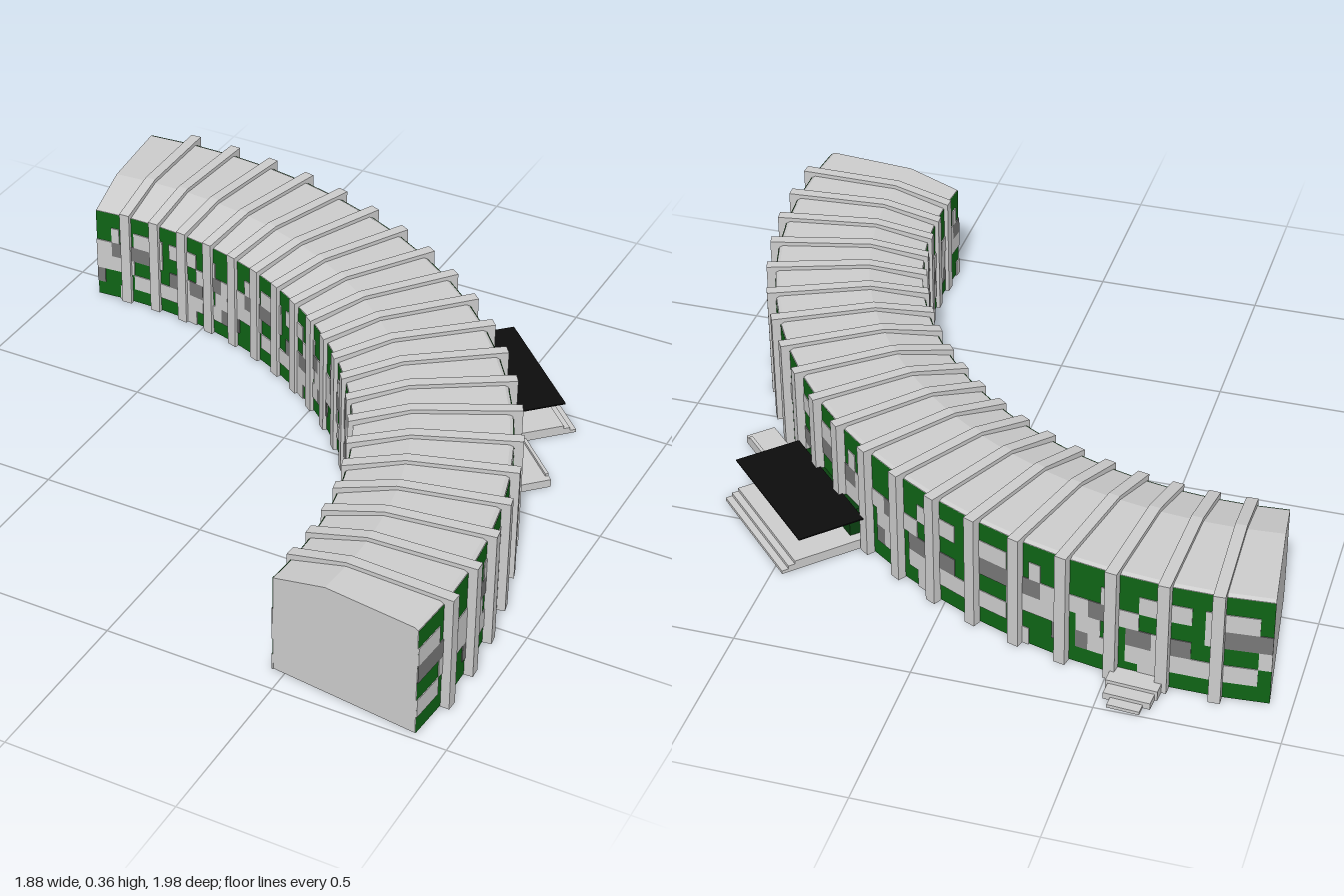
import * as THREE from 'three';
import { mergeGeometries } from 'three/addons/utils/BufferGeometryUtils.js';

const rad = THREE.MathUtils.degToRad;
const SEGMENTS = 21, START = rad(-96.9), END = rad(6.8);
const STEP = (END - START) / SEGMENTS;
const R_IN = 1.215, R_OUT = 1.655, EAVE_IN = 0.305, EAVE_OUT = 0.338;

const mat = (color) => new THREE.MeshStandardMaterial({ color, flatShading: true, side: THREE.DoubleSide });
const grey = mat(0xcccccc), darkGrey = mat(0x777777), green = mat(0x0f6415);
const darkGreen = mat(0x0a4010), black = mat(0x0c0c0c);

// Facade mosaics, top row first: g = green wall, l = light block, d = dark block
const PATTERNS = [
  ['gggg', 'lllg', 'dddd', 'gggl', 'lllg', 'gggg'],
  ['gggg', 'ggll', 'llgg', 'gddl', 'glll', 'ggll'],
  ['gggg', 'glgg', 'ddll', 'llll', 'gggd', 'lggg'],
  ['gggg', 'llgl', 'gggl', 'ddgg', 'llll', 'gggg'],
  ['gggg', 'gggl', 'lldd', 'gllg', 'gdll', 'gggg'],
];

function add(parent, name, geometry, material) {
  const mesh = new THREE.Mesh(geometry, material);
  mesh.name = name;
  parent.add(mesh);
  return mesh;
}

// Box between two corners
function block(parent, name, material, [x0, y0, z0], [x1, y1, z1]) {
  const g = new THREE.BoxGeometry(x1 - x0, y1 - y0, z1 - z0);
  g.translate((x0 + x1) / 2, (y0 + y1) / 2, (z0 + z1) / 2);
  return add(parent, name, g, material);
}

// Sweeps a radius/height profile along the curve of the building
function sweep(points) {
  const profile = points.map(([r, y]) => new THREE.Vector2(r, y));
  return new THREE.LatheGeometry(profile, SEGMENTS, Math.PI / 2 - END, END - START);
}

const shapeOf = (points) => new THREE.Shape(points.map(([x, y]) => new THREE.Vector2(x, y)));

// Geometry whose local x is radial, turned to an angle on the curve
const turn = (geometry, angle) => geometry.rotateY(-angle);

// Blocks of one colour on one wall
function mosaic(code, inner) {
  const r = (inner ? R_IN : R_OUT) * Math.cos(STEP / 2) + (inner ? -0.003 : 0.002);
  const rowHeight = (inner ? EAVE_IN : EAVE_OUT) / 6;
  const width = 2 * (inner ? R_IN : R_OUT) * Math.sin(STEP / 2);
  const tiles = [];
  for (let i = 0; i < SEGMENTS; i++) {
    const pattern = PATTERNS[(i * 3 + (inner ? 2 : 0)) % PATTERNS.length];
    pattern.forEach((row, j) => [...row].forEach((cell, k) => {
      if (cell !== code) return;
      const g = new THREE.BoxGeometry(0.005, rowHeight, width / 4);
      g.translate(r, (5.5 - j) * rowHeight, (1.5 - k) * width / 4);
      tiles.push(turn(g, START + (i + 0.5) * STEP));
    }));
  }
  return mergeGeometries(tiles);
}

function createBuilding() {
  const building = new THREE.Group();
  building.name = 'curvedBuilding';
  building.position.set(-0.741, 0, 0.786);

  // Hull with a low ridged roof
  const section = [[R_OUT, 0.003], [R_OUT, EAVE_OUT], [R_OUT - 0.01, 0.344], [1.375, 0.347], [R_IN, EAVE_IN], [R_IN, 0.003]];
  add(building, 'hull', sweep([...section, section[0]]), grey);
  [START, END].forEach((a) => add(building, 'endWall', turn(new THREE.ShapeGeometry(shapeOf(section)), a), grey));

  // Green facades with their mosaic of blocks
  add(building, 'outerFacade', sweep([[R_OUT + 0.002, 0.003], [R_OUT + 0.002, EAVE_OUT]]), green);
  add(building, 'innerFacade', sweep([[R_IN - 0.002, EAVE_IN], [R_IN - 0.002, 0.003]]), green);
  for (const inner of [false, true]) {
    add(building, 'lightBlocks', mosaic('l', inner), grey);
    add(building, 'darkBlocks', mosaic('d', inner), darkGrey);
  }

  // Ribs wrapping over both walls and the roof
  const band = [
    [1.682, 0], [1.682, 0.356], [1.375, 0.359], [1.2, 0.319], [1.2, 0],
    [1.22, 0], [1.22, 0.3], [1.375, 0.34], [1.65, 0.335], [1.65, 0],
  ];
  for (let i = 1; i < SEGMENTS; i++) {
    const g = new THREE.ExtrudeGeometry(shapeOf(band), { depth: 0.033, bevelEnabled: false });
    add(building, 'rib', turn(g.translate(0, 0, -0.0165), START + i * STEP), grey);
  }

  // Green patches on the underside: angle, radius, radial length, width
  const patches = [[2.5, 1.44, 0.28, 0.07], [-39, 1.43, 0.18, 0.14], [-65, 1.5, 0.2, 0.07], [-68.5, 1.52, 0.18, 0.04], [-86, 1.52, 0.2, 0.1], [-90, 1.44, 0.36, 0.04]];
  for (const [angle, r, length, width] of patches) {
    const g = new THREE.BoxGeometry(length, 0.003, width).translate(r, 0.0015, 0);
    add(building, 'floorPatch', turn(g, rad(angle)), darkGreen);
  }
  return building;
}

// Main entrance: local x points away from the outer wall
function createEntrance() {
  const entrance = new THREE.Group();
  entrance.name = 'mainEntrance';
  entrance.rotation.y = Math.PI / 4;
  [0.83, 0.81, 0.79].forEach((reach, i) =>
    block(entrance, 'step', grey, [0.56, i * 0.01, -0.165], [reach, (i + 1) * 0.01, 0.22]));
  block(entrance, 'doorWall', darkGreen, [0.57, 0.03, -0.135], [0.605, 0.116, 0.19]);
  block(entrance, 'canopy', black, [0.587, 0.117, -0.19], [0.785, 0.121, 0.233]);
  block(entrance, 'walkway', grey, [0.57, 0, 0.22], [0.66, 0.025, 0.45]);
  block(entrance, 'walkwayKerb', grey, [0.65, 0.025, 0.25], [0.66, 0.033, 0.43]);
  return entrance;
}

// Small porch steps at the back
function createPorch() {
  const porch = new THREE.Group();
  porch.name = 'backPorch';
  porch.position.x = -0.58;
  porch.rotation.y = rad(-4);
  [[0.045, -0.96, 0.01], [0.065, -0.93, 0.02], [0.072, -0.89, 0.03]].forEach(([half, z, top]) =>
    block(porch, 'porchStep', grey, [-half, 0, z], [half, top, -0.83]));
  porch.position.z = -0.035;
  porch.position.x = -0.645;
  return porch;
}

export function createModel() {
  const model = new THREE.Group();
  model.name = 'crescentBuilding';
  model.add(createBuilding(), createEntrance(), createPorch());
  return model;
}
